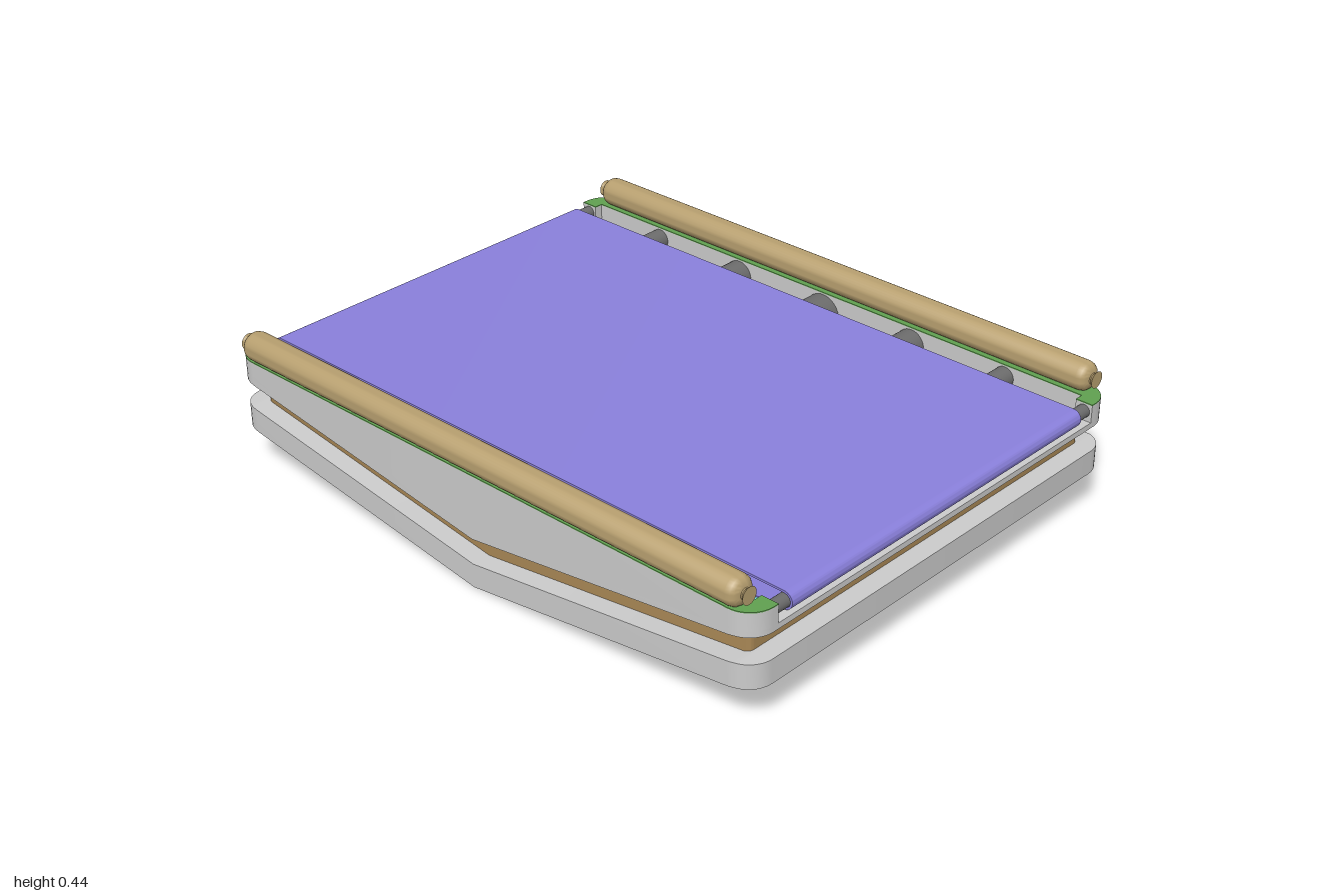
import * as THREE from 'three';
import { toCreasedNormals } from 'three/addons/utils/BufferGeometryUtils.js';

const GREY = 0xcccccc, WOOD = 0xa88755, RAIL = 0xb8a070, BELT = 0x8a80dc,
  DARK = 0x6c6c6c, CYAN = 0x78e0e0, GREEN = 0x60a050;

const HALF_W = 0.77, CORNER = 0.08, KINK = 0.94, RISE = 0.13;

// Shallow V along z, flat beyond the kink
const vee = (y) => (z) => y + RISE * Math.min(Math.abs(z) / KINK, 1);
const flat = (y) => () => y;

// Half width of a plan rectangle with rounded corners
const rounded = (w, d, r) => (z) => {
  const k = Math.max(0, Math.abs(z) - (d - r));
  return w - r + Math.sqrt(Math.max(0, r * r - k * k));
};

// Stations along z, dense around the rounded corners
function stations(d, r) {
  const half = [];
  for (let i = 0; i <= 8; i++) half.push(d - r + r * Math.sin((i / 8) * Math.PI / 2));
  if (KINK < d) half.push(KINK);
  half.sort((a, b) => a - b);
  return [...half.map((z) => -z).reverse(), 0, ...half];
}

// Loft of four-cornered sections [z, x0, x1, bottom, top]
function loft(sections) {
  const pos = [];
  const quad = (a, b, c, d) => pos.push(...a, ...b, ...c, ...a, ...c, ...d);
  const rings = sections.map(([z, x0, x1, b, t]) => [[x0, b, z], [x1, b, z], [x1, t, z], [x0, t, z]]);
  for (let i = 0; i < rings.length - 1; i++) {
    for (let k = 0; k < 4; k++) {
      const n = (k + 1) % 4;
      quad(rings[i][k], rings[i][n], rings[i + 1][n], rings[i + 1][k]);
    }
  }
  const f = rings[0], l = rings[rings.length - 1];
  quad(f[3], f[2], f[1], f[0]);
  quad(l[0], l[1], l[2], l[3]);
  const g = new THREE.BufferGeometry();
  g.setAttribute('position', new THREE.Float32BufferAttribute(pos, 3));
  return toCreasedNormals(g, 0.5);
}

// Plate with rounded plan corners
function plate(w, d, r, bottom, top) {
  const half = rounded(w, d, r);
  return loft(stations(d, r).map((z) => [z, -half(z), half(z), bottom(z), top(z)]));
}

// Side wall that widens into a corner post at each end
function wall(side, bottom, top) {
  const outer = rounded(HALF_W, 1, CORNER), sections = [];
  const add = (z, inner) => {
    const a = side * inner, b = side * outer(z);
    sections.push([z, Math.min(a, b), Math.max(a, b), bottom(z), top(z)]);
  };
  const post = 0.945, zs = stations(1, CORNER);
  zs.filter((z) => z < -post).forEach((z) => add(z, 0.672));
  add(-post, 0.672);
  add(-post, 0.7);
  zs.filter((z) => Math.abs(z) < post).forEach((z) => add(z, 0.7));
  add(post, 0.7);
  add(post, 0.672);
  zs.filter((z) => z > post).forEach((z) => add(z, 0.672));
  return loft(sections);
}

// Belt outline around the end rollers and the large middle roller
function beltPath(path, off) {
  const endZ = 0.973, endY = 0.333, midY = 0.288, tilt = 0.092, q = Math.PI / 2;
  path.absarc(endZ, endY, 0.02 + off, -q + tilt, q, false);
  path.absarc(-endZ, endY, 0.02 + off, q, 3 * q - tilt, false);
  path.absarc(0, midY, 0.065 + off, 3 * q - tilt, 3 * q + tilt, false);
  path.closePath();
  return path;
}

export function createModel() {
  const model = new THREE.Group();
  const add = (name, geometry, color) => {
    const mesh = new THREE.Mesh(geometry, new THREE.MeshStandardMaterial({ color }));
    mesh.name = name;
    model.add(mesh);
    return mesh;
  };

  // Base, core and tray floor
  add('basePlate', plate(HALF_W, 1, CORNER, vee(0), vee(0.075)), GREY);
  add('core', plate(0.71, KINK, 0.02, vee(0.07), vee(0.16)), WOOD);
  add('trayFloor', plate(HALF_W, 1, CORNER, vee(0.155), vee(0.173)), GREY);

  // Coloured linings on the tray floor
  add('floorLining', plate(0.7, 0.945, 0.01, vee(0.165), vee(0.175)), GREEN);
  add('floorPanel', plate(0.68, 0.925, 0.005, vee(0.17), vee(0.178)), CYAN);
  add('floorInset', plate(0.635, 0.88, 0.005, vee(0.17), vee(0.181)), GREEN);

  // Rollers, largest in the middle, all touching the belt from below
  const rollers = [[0, 0.065], [0.34, 0.049], [0.68, 0.033], [0.973, 0.02]];
  for (const [z, r] of rollers) {
    for (const s of z ? [-1, 1] : [1]) {
      const g = new THREE.CylinderGeometry(r, r, 1.42, 32).rotateZ(Math.PI / 2);
      add('roller', g, DARK).position.set(0, 0.353 - r, s * z);
    }
  }

  // Belt loop
  const loop = beltPath(new THREE.Shape(), 0.007);
  loop.holes.push(beltPath(new THREE.Path(), 0.0005));
  const belt = new THREE.ExtrudeGeometry(loop, { depth: 1.24, bevelEnabled: false, curveSegments: 16 });
  belt.translate(0, 0, -0.62).rotateY(Math.PI / 2);
  add('belt', toCreasedNormals(belt, 0.5), BELT);

  // Side walls with rims, and the hand rails on top
  const halfRail = [[0.045, 0.92], [0.042, 0.934], [0.035, 0.943], [0.025, 0.948],
    [0.017, 0.95], [0.017, 0.954], [0.026, 0.964], [0, 0.964]];
  const profile = [...halfRail.map(([r, z]) => [r, -z]).reverse(), ...halfRail]
    .map(([r, z]) => new THREE.Vector2(r, z));
  for (const s of [-1, 1]) {
    add('sideWall', wall(s, vee(0.155), flat(0.357)), GREY);
    add('wallRim', wall(s, flat(0.357), flat(0.36)), GREEN);
    const rail = toCreasedNormals(new THREE.LatheGeometry(profile, 32).rotateX(Math.PI / 2), 0.6);
    add('handRail', rail, RAIL).position.set(s * 0.74, 0.4, 0);
  }
  return model;
}
